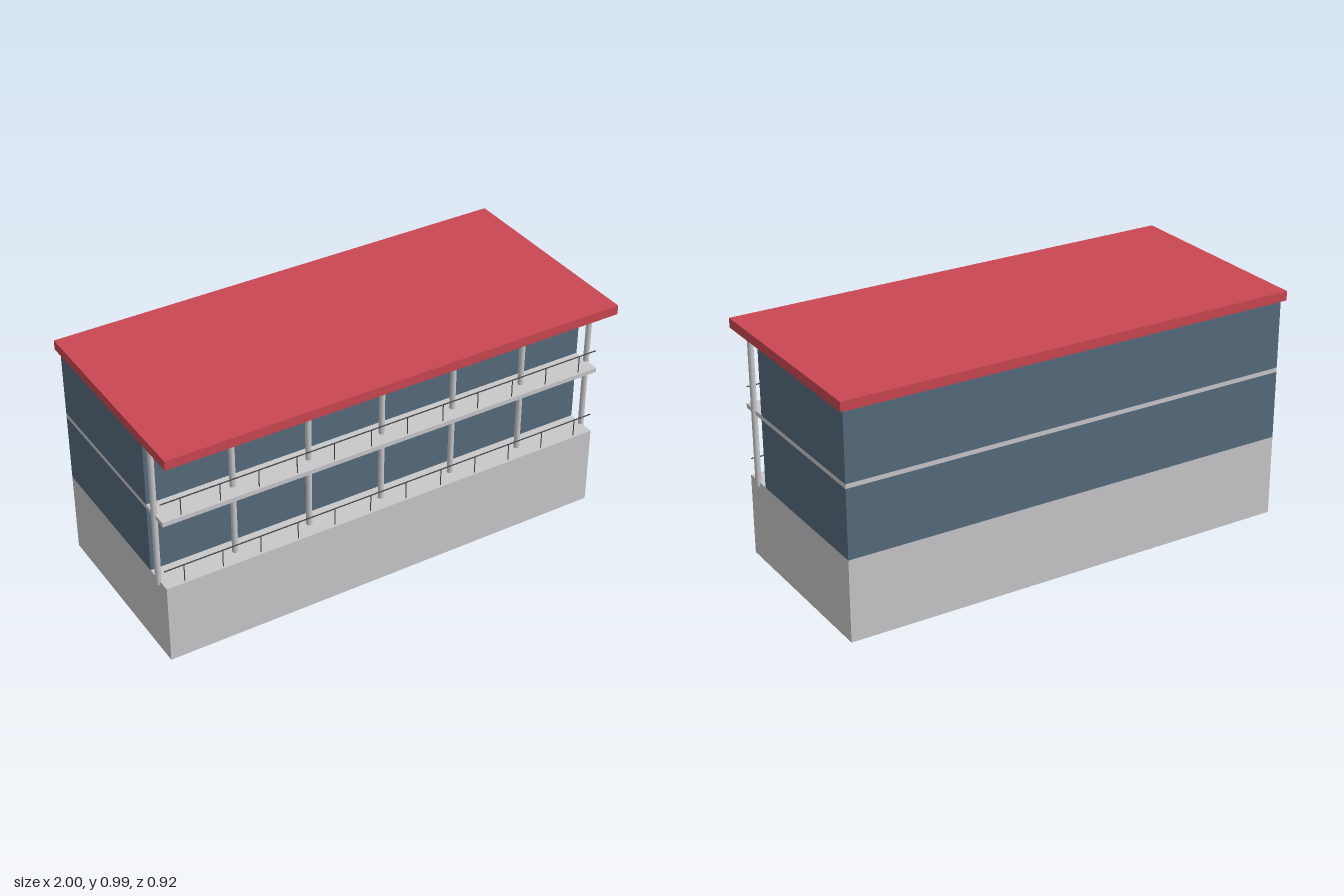
import * as THREE from 'three';

export function createModel() {
  const model = new THREE.Group();
  const material = (name, color) => {
    const m = new THREE.MeshStandardMaterial({ color });
    m.name = name;
    return m;
  };
  const concrete = material('concrete grey', 0xc8c8ca);
  const wallBlue = material('slate blue', 0x566a7b);
  const roofRed = material('roof red', 0xca4752);
  const metal = material('dark metal', 0x45474a);

  const add = (name, geometry, mat, x, y, z) => {
    const mesh = new THREE.Mesh(geometry, mat);
    mesh.name = name;
    mesh.position.set(x, y, z);
    model.add(mesh);
    return mesh;
  };
  // Box given by half width and its y and z ranges
  const block = (name, mat, halfX, y0, y1, z0, z1) =>
    add(name, new THREE.BoxGeometry(halfX * 2, y1 - y0, z1 - z0), mat, 0, (y0 + y1) / 2, (z0 + z1) / 2);

  const HALF = 0.984, BACK = -0.444, FRONT = 0.379, WALL = 0.247;

  // Stacked storeys
  block('base', concrete, HALF, 0, 0.348, BACK, FRONT);
  block('lowerStorey', wallBlue, HALF, 0.348, 0.64, BACK, WALL);
  block('balconySlab', concrete, HALF, 0.64, 0.659, BACK, FRONT);
  block('upperStorey', wallBlue, HALF, 0.659, 0.953, BACK, WALL);
  block('roof', roofRed, 1, 0.953, 0.993, -0.46, 0.46);

  // Round columns along the balconies
  const columnGeometry = new THREE.CylinderGeometry(0.012, 0.012, 0.623, 16);
  for (let i = -3; i <= 3; i++) {
    add('column', columnGeometry, concrete, i * HALF / 3, 0.6415, 0.311);
  }

  // Railings: one handrail and twelve posts per balcony
  const railGeometry = new THREE.CylinderGeometry(0.0025, 0.0025, HALF * 2, 8);
  const postGeometry = new THREE.CylinderGeometry(0.002, 0.002, 0.076, 8);
  for (const floor of [0.348, 0.659]) {
    add('handrail', railGeometry, metal, 0, floor + 0.076, 0.367).rotation.z = Math.PI / 2;
    for (let i = 0; i < 12; i++) {
      add('railPost', postGeometry, metal, (i - 5.5) * HALF / 6, floor + 0.038, 0.367);
    }
  }
  return model;
}
